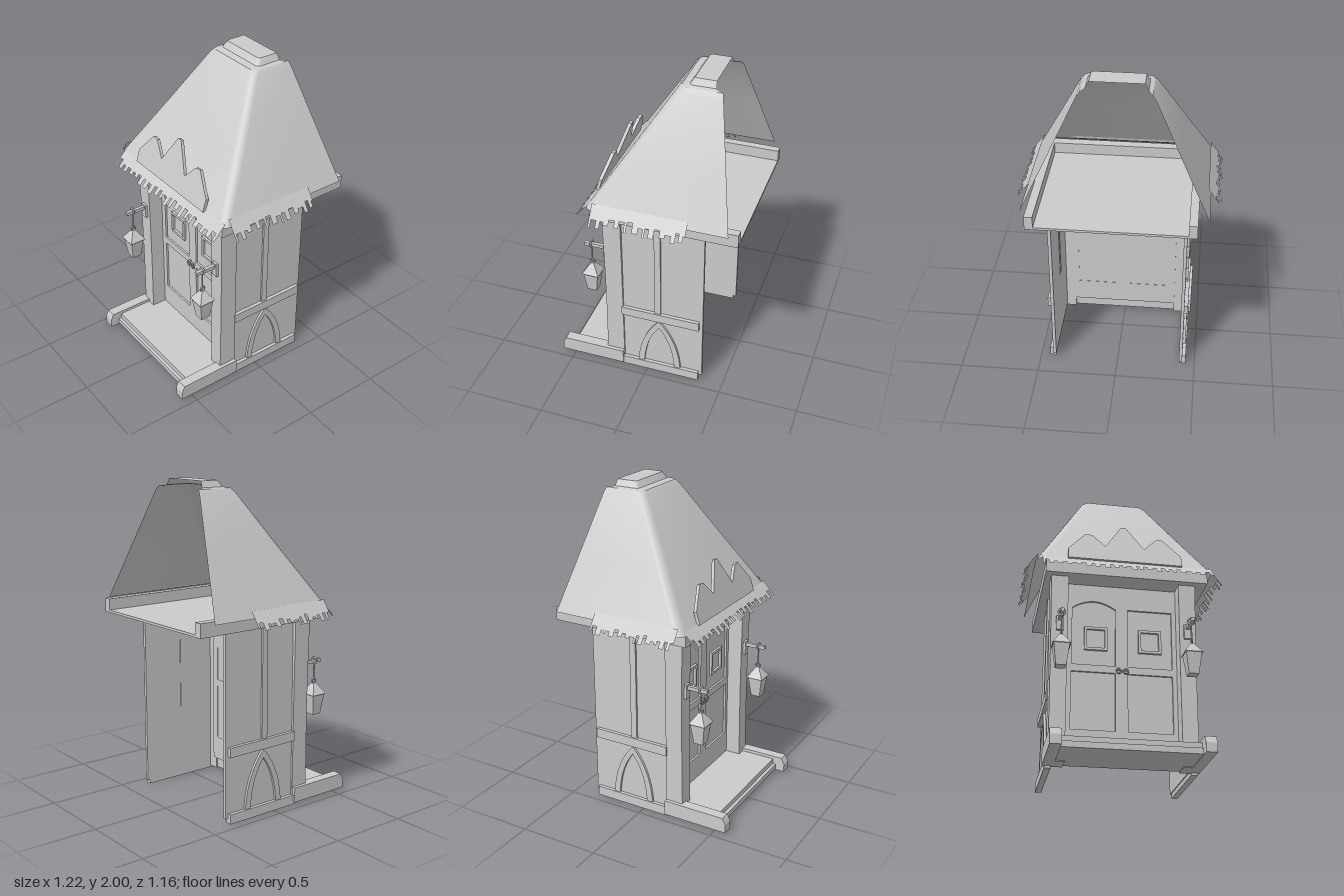
import * as THREE from 'three';
import { toCreasedNormals } from 'three/addons/utils/BufferGeometryUtils.js';

const mat = new THREE.MeshStandardMaterial({ color: 0xcccccc });
const thin = new THREE.MeshStandardMaterial({ color: 0xcccccc, side: THREE.DoubleSide });

function add(parent, name, geo, x = 0, y = 0, z = 0, m = mat) {
  const mesh = new THREE.Mesh(geo, m);
  mesh.name = name;
  mesh.position.set(x, y, z);
  parent.add(mesh);
  return mesh;
}

// box given by its extents
function box(parent, name, x0, x1, y0, y1, z0, z1) {
  return add(parent, name, new THREE.BoxGeometry(x1 - x0, y1 - y0, z1 - z0),
    (x0 + x1) / 2, (y0 + y1) / 2, (z0 + z1) / 2);
}

const poly = (pts) => new THREE.Shape(pts.map((p) => new THREE.Vector2(p[0], p[1])));
const rect = (x0, x1, y0, y1) => poly([[x0, y0], [x1, y0], [x1, y1], [x0, y1]]);
const slab = (shape, depth) => new THREE.ExtrudeGeometry(shape, { depth, bevelEnabled: false, curveSegments: 10 });

// extrude a (z, y) profile along x between x0 and x1
function sideSlab(parent, name, shape, x0, x1) {
  const geo = slab(shape, x1 - x0);
  geo.rotateY(-Math.PI / 2);
  return add(parent, name, geo, x1, 0, 0);
}

// pointed arch around z = c
function archShape(c, w, y0, top) {
  const s = new THREE.Shape();
  s.moveTo(c - w, y0);
  s.lineTo(c + w, y0);
  s.quadraticCurveTo(c + w * 0.9, y0 + (top - y0) * 0.62, c, top);
  s.quadraticCurveTo(c - w * 0.9, y0 + (top - y0) * 0.62, c - w, y0);
  return s;
}

// roof shell, open at the back; rows are [y, halfWidth, zFront, zBack, cornerRadius]
function roofGeometry() {
  const rows = [
    [1.25, 0.545, 0.335, -0.53, 0.05], [1.6, 0.377, 0.108, -0.456, 0.05],
    [1.93, 0.219, -0.106, -0.386, 0.04], [1.955, 0.2, -0.13, -0.38, 0.035],
    [1.962, 0.175, -0.175, -0.335, 0.025], [2, 0.155, -0.2, -0.33, 0.02],
    [2, 0.155, -0.33, -0.33, 0],
  ];
  const pos = [], idx = [];
  const N = 14;
  for (const [y, w, zf, zb, r] of rows) {
    const half = [[w, zb]];
    for (let k = 0; k <= 5; k++) {
      const a = (k / 5) * Math.PI / 2;
      half.push([w - r + r * Math.cos(a), zf - r + r * Math.sin(a)]);
    }
    half.forEach((p) => pos.push(-p[0], y, p[1]));
    half.reverse().forEach((p) => pos.push(p[0], y, p[1]));
  }
  for (let j = 0; j < rows.length - 1; j++) {
    for (let i = 0; i < N - 1; i++) {
      const a = j * N + i;
      idx.push(a, a + 1, a + N + 1, a, a + N + 1, a + N);
    }
  }
  const geo = new THREE.BufferGeometry();
  geo.setAttribute('position', new THREE.Float32BufferAttribute(pos, 3));
  geo.setIndex(idx);
  return toCreasedNormals(geo, 0.6);
}

// ragged strip hanging from y = 0
function fringeGeometry(length, depth, seed) {
  const rnd = () => (seed = (seed * 16807) % 2147483647) / 2147483647;
  const pts = [[length / 2, 0], [-length / 2, 0]];
  let x = -length / 2, deep = true;
  while (x < length / 2) {
    const next = Math.min(length / 2, x + 0.014 + 0.022 * rnd());
    const d = -depth * (deep ? 0.78 + 0.22 * rnd() : 0.45 + 0.28 * rnd());
    pts.push([x, d], [next, d]);
    x = next;
    deep = !deep;
  }
  return new THREE.ShapeGeometry(poly(pts));
}

export function createModel() {
  const model = new THREE.Group();
  model.name = 'house';

  // steps between the two cheek rails
  box(model, 'lowerStep', -0.4, 0.4, 0.02, 0.055, 0.17, 0.52);
  box(model, 'upperStep', -0.4, 0.4, 0.055, 0.09, 0.17, 0.5);

  // double door with recessed panels
  const door = new THREE.Group();
  door.name = 'door';
  model.add(door);
  const face = rect(-0.34, 0.355, 0.09, 1.18);
  const arched = new THREE.Path();
  arched.moveTo(-0.3, 0.645);
  arched.lineTo(-0.035, 0.645);
  arched.lineTo(-0.035, 1.015);
  arched.quadraticCurveTo(-0.168, 1.11, -0.3, 1.015);
  arched.closePath();
  face.holes.push(arched, rect(0.04, 0.31, 0.645, 1.02),
    rect(-0.3, -0.035, 0.24, 0.6), rect(0.04, 0.31, 0.24, 0.6));
  add(door, 'doorFrame', slab(face, 0.025), 0, 0, 0.15);
  box(door, 'doorPanels', -0.32, 0.33, 0.2, 1.1, 0.152, 0.162);
  for (const x of [-0.155, 0.175]) {
    const frame = rect(-0.07, 0.07, -0.075, 0.075);
    frame.holes.push(rect(-0.054, 0.054, -0.059, 0.059));
    add(door, 'windowFrame', slab(frame, 0.018), x, 0.817, 0.16);
  }
  for (const x of [-0.018, 0.025]) {
    add(door, 'doorRing', new THREE.TorusGeometry(0.014, 0.005, 6, 14), x, 0.61, 0.19);
    box(door, 'ringMount', x - 0.006, x + 0.006, 0.618, 0.632, 0.17, 0.193);
  }

  for (const s of [-1, 1]) {
    // span mirrored to side s
    const span = (a, b) => (s > 0 ? [a, b] : [-b, -a]);
    const side = new THREE.Group();
    side.name = s > 0 ? 'leftSide' : 'rightSide';
    model.add(side);

    sideSlab(side, 'stepRail', poly([[0.16, 0.015], [0.58, 0.015], [0.58, 0.07], [0.56, 0.11], [0.16, 0.11]]),
      ...span(0.39, 0.455));

    // front post, slightly waisted
    const post = new THREE.BoxGeometry(0.105, 1.16, 0.11, 1, 6, 1);
    const p = post.attributes.position;
    for (let i = 0; i < p.count; i++) {
      const t = p.getY(i) / 0.58;
      if (p.getX(i) * s > 0) p.setX(i, p.getX(i) - s * 0.01 * (1 - t) * (0.5 + 0.3 * (1 + t)));
      if (p.getZ(i) > 0) p.setZ(i, p.getZ(i) + 0.006 * t * t);
    }
    post.computeVertexNormals();
    add(side, 'frontPost', post, s * 0.39, 0.595, 0.213);

    // side wall with its timber work
    box(side, 'wall', ...span(0.4, 0.42), 0.03, 1.18, -0.36, 0.17);
    box(side, 'baseBeam', ...span(0.405, 0.442), 0, 0.06, -0.34, 0.18);
    box(side, 'middleBeam', ...span(0.405, 0.442), 0.415, 0.475, -0.34, 0.165);
    box(side, 'wallStud', ...span(0.397, 0.432), 0.475, 1.18, -0.09, -0.05);
    const arch = archShape(-0.08, 0.14, 0.06, 0.412);
    arch.holes.push(archShape(-0.08, 0.1, 0.06, 0.36));
    sideSlab(side, 'pointedArch', arch, ...span(0.405, 0.435));

    // hanging lantern
    const lamp = new THREE.Group();
    lamp.name = 'lantern';
    lamp.position.set(s * 0.385, 0, 0.37);
    side.add(lamp);
    box(lamp, 'wallPlate', -0.022, 0.022, 0.81, 0.9, -0.115, -0.085);
    box(lamp, 'arm', -0.011, 0.011, 0.868, 0.89, -0.1, 0.045);
    add(lamp, 'hook', new THREE.TorusGeometry(0.02, 0.006, 6, 14), 0, 0.882, 0);
    add(lamp, 'chain', new THREE.CylinderGeometry(0.005, 0.005, 0.11, 6), 0, 0.81, 0);
    add(lamp, 'topRing', new THREE.TorusGeometry(0.015, 0.005, 6, 14), 0, 0.75, 0).rotation.y = Math.PI / 2;
    const square = (r0, r1, h) => {
      const g = new THREE.CylinderGeometry(r0 * Math.SQRT2, r1 * Math.SQRT2, h, 4).toNonIndexed();
      g.computeVertexNormals();
      return g.rotateY(Math.PI / 4);
    };
    add(lamp, 'lanternCap', square(0.01, 0.054, 0.068), 0, 0.704, 0);
    add(lamp, 'lanternBody', square(0.047, 0.03, 0.13), 0, 0.605, 0);
  }

  // ceiling tray with raised beams on three sides
  box(model, 'ceiling', -0.48, 0.51, 1.17, 1.185, -0.58, 0.32);
  box(model, 'frontBeam', -0.48, 0.51, 1.185, 1.255, 0.26, 0.32);
  box(model, 'rightBeam', -0.48, -0.43, 1.185, 1.255, -0.58, 0.26);
  box(model, 'leftBeam', 0.46, 0.51, 1.185, 1.255, -0.58, 0.26);

  // roof with ragged eaves
  add(model, 'roof', roofGeometry(), 0, 0, 0, thin);
  const eaves = [
    ['frontFringe', 1.04, 0.135, 7, 0.015, 1.275, 0.318, 0, 0.75],
    ['leftFringe', 0.58, 0.14, 91, 0.53, 1.295, 0.0, Math.PI / 2, 0.63],
    ['rightFringe', 0.56, 0.14, 533, -0.53, 1.295, 0.02, -Math.PI / 2, 0.63],
  ];
  for (const [name, len, depth, seed, x, y, z, turn, tilt] of eaves) {
    const m = add(model, name, fringeGeometry(len, depth, seed), x, y, z, thin);
    m.rotation.set(-tilt, turn, 0, 'YXZ');
  }

  // zigzag crest leaning against the front of the roof
  const crest = poly([[-0.35, -0.02], [0.35, -0.02], [0.35, 0.06], [0.24, 0.195], [0.2, 0.19], [0.12, 0.1],
    [0.015, 0.28], [-0.015, 0.28], [-0.12, 0.1], [-0.2, 0.19], [-0.24, 0.195], [-0.35, 0.06]]);
  add(model, 'crest', slab(crest, 0.02), 0, 1.28, 0.315).rotation.x = -0.3;

  return model;
}
